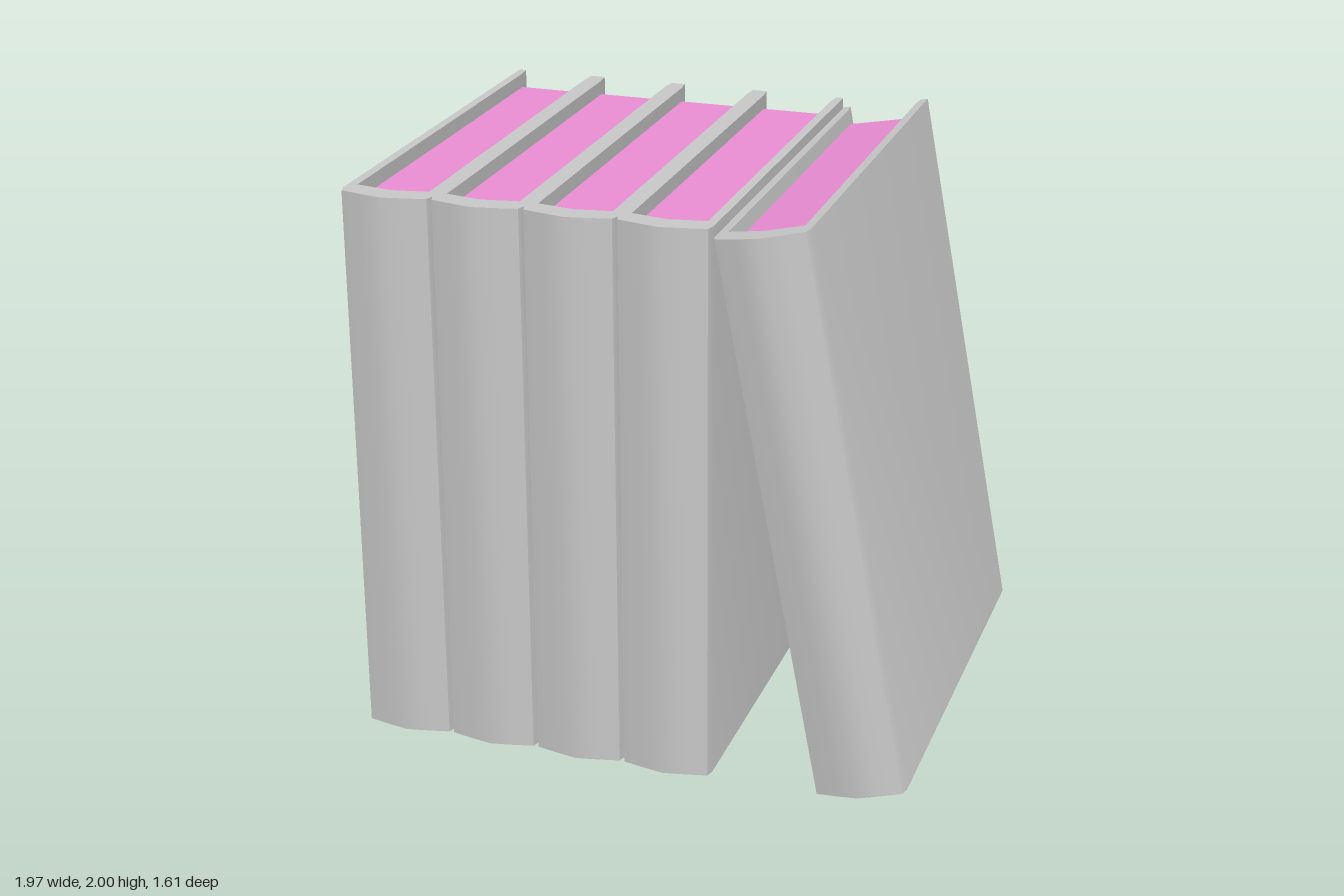
import * as THREE from 'three';
import { toCreasedNormals } from 'three/addons/utils/BufferGeometryUtils.js';

const W = 0.32, H = 1.977, INSET = 0.052;
const coverMat = new THREE.MeshStandardMaterial({ color: 0xcccccc });
const pageMat = new THREE.MeshStandardMaterial({ color: 0xee90d8 });

// Extrude a plan outline, given as [x, z] points, upward from y = 0
function upright(points, height) {
  const shape = new THREE.Shape(points.map(([x, z]) => new THREE.Vector2(x, -z)));
  const geo = new THREE.ExtrudeGeometry(shape, { depth: height, bevelEnabled: false });
  geo.rotateX(-Math.PI / 2);
  return toCreasedNormals(geo, 0.5);
}

// Mirror the right half of an outline to close it on the left
const mirrored = (half) => [
  ...half,
  ...half.slice().reverse().filter(([x]) => x > 0).map(([x, z]) => [-x, z]),
];

// U-shaped cover: two boards joined by a slightly peaked spine
const coverGeo = upright(mirrored([
  [0, 0.72], [0.128, 0.698], [0.128, -0.755], [0.134, -0.81],
  [0.16, -0.81], [0.16, 0.742], [0.151, 0.772], [0.075, 0.789], [0, 0.803],
]), H);

// Page block, recessed at the top, bottom and fore edge
const pagesGeo = upright(mirrored([
  [0, 0.722], [0.129, 0.7], [0.129, -0.755],
]), H - 2 * INSET);

function makeBook(name) {
  const book = new THREE.Group();
  book.name = name;
  const cover = new THREE.Mesh(coverGeo, coverMat);
  cover.name = 'cover';
  const pages = new THREE.Mesh(pagesGeo, pageMat);
  pages.name = 'pages';
  pages.position.y = INSET;
  book.add(cover, pages);
  return book;
}

export function createModel() {
  const model = new THREE.Group();
  model.name = 'bookRow';

  // Four books standing side by side
  for (let i = 0; i < 4; i++) {
    const book = makeBook('uprightBook' + (i + 1));
    book.position.x = -0.825 + i * W;
    model.add(book);
  }

  // Fifth book leaning on the row, resting on its lower left edge
  const tilt = 0.188;
  const leaning = makeBook('leaningBook');
  leaning.rotation.z = tilt;
  leaning.position.set(0.668 + Math.cos(tilt) * W / 2, Math.sin(tilt) * W / 2, 0);
  model.add(leaning);

  return model;
}
